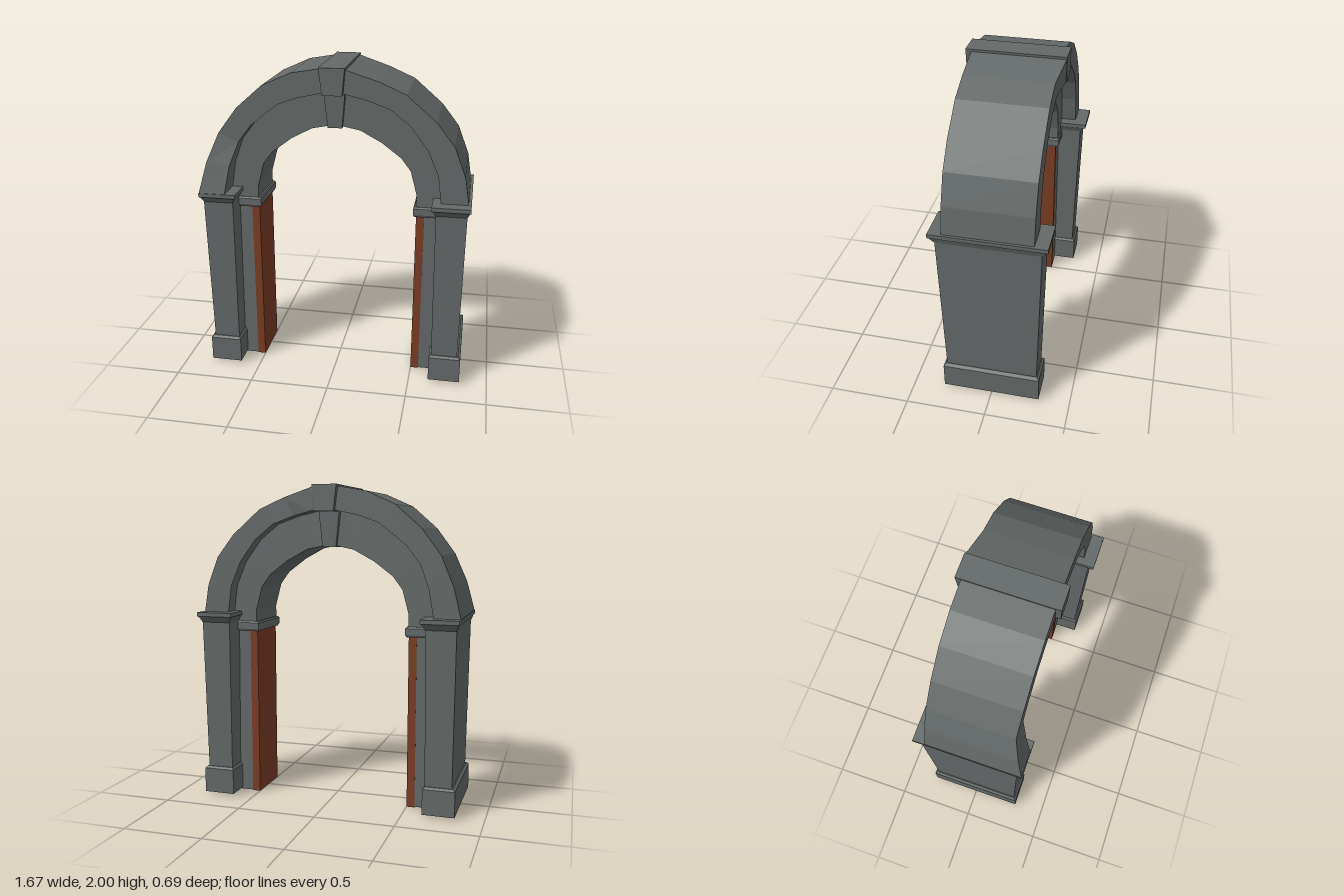
import * as THREE from 'three';

const stone = new THREE.MeshStandardMaterial({ color: 0x646a69, flatShading: true });
stone.name = 'grey stone';
const wood = new THREE.MeshStandardMaterial({ color: 0x7a3d24, flatShading: true });
wood.name = 'brown wood';

// Solid skinned over four-cornered sections, each wound anticlockwise about the direction of travel.
function loft(name, sections, material) {
  const pos = [];
  const quad = (a, b, c, d) => pos.push(...a, ...b, ...c, ...a, ...c, ...d);
  for (let i = 0; i + 1 < sections.length; i++) {
    const a = sections[i], b = sections[i + 1];
    for (let k = 0; k < 4; k++) {
      const n = (k + 1) % 4;
      quad(a[k], a[n], b[n], b[k]);
    }
  }
  quad(...[...sections[0]].reverse());
  quad(...sections[sections.length - 1]);
  const geometry = new THREE.BufferGeometry();
  geometry.setAttribute('position', new THREE.Float32BufferAttribute(pos, 3));
  geometry.computeVertexNormals();
  const mesh = new THREE.Mesh(geometry, material);
  mesh.name = name;
  return mesh;
}

// Upright block from levels [y, inner x, outer x, half depth]; side -1 puts it on the right.
function block(name, side, levels, material = stone) {
  return loft(name, levels.map(([y, xa, xb, z]) => {
    const x0 = Math.min(side * xa, side * xb), x1 = Math.max(side * xa, side * xb);
    return [[x0, y, -z], [x0, y, z], [x1, y, z], [x1, y, -z]];
  }), material);
}

// Arch ring from stations [outer x, outer y, inner x, inner y, front z, back z].
function ring(name, stations, depth) {
  return loft(name, stations.map(([ox, oy, ix, iy, f = depth, b = -depth]) =>
    [[ix, iy, b], [ox, oy, b], [ox, oy, f], [ix, iy, f]]), stone);
}

function pillar(side) {
  const g = new THREE.Group();
  g.name = side > 0 ? 'leftPillar' : 'rightPillar';
  g.add(
    block('pillarBase', side, [[0.015, 0.625, 0.825, 0.305], [0.175, 0.625, 0.825, 0.305], [0.188, 0.637, 0.81, 0.292]]),
    block('pillarShaft', side, [[0.18, 0.638, 0.803, 0.286], [1.16, 0.628, 0.815, 0.308]]),
    block('capital', side, [[1.145, 0.628, 0.815, 0.308], [1.18, 0.61, 0.828, 0.335],
      [1.185, 0.602, 0.835, 0.345], [1.21, 0.602, 0.835, 0.345]]),
    block('jamb', side, [[0.004, 0.549, 0.66, 0.155], [1.1, 0.549, 0.66, 0.155]]),
    block('doorLining', side, [[0, 0.5, 0.55, 0.156], [1.09, 0.5, 0.55, 0.156]], wood),
    block('impost', side, [[1.08, 0.49, 0.66, 0.172], [1.095, 0.482, 0.66, 0.18],
      [1.135, 0.482, 0.66, 0.18], [1.145, 0.49, 0.66, 0.172]]),
  );
  return g;
}

export function createModel() {
  const model = new THREE.Group();
  model.name = 'archway';
  model.add(pillar(1), pillar(-1));

  // Outer arch, flared at its right front foot and slightly swollen behind the keystone
  model.add(ring('outerArch', [
    [-0.835, 1.2, -0.67, 1.2, 0.343],
    [-0.785, 1.4, -0.64, 1.38, 0.304],
    [-0.71, 1.58, -0.585, 1.53],
    [-0.59, 1.74, -0.5, 1.64],
    [-0.43, 1.88, -0.335, 1.77],
    [-0.25, 1.96, -0.21, 1.815],
    [-0.075, 1.99, -0.07, 1.845],
    [0.075, 1.985, 0.07, 1.845, 0.265, -0.295],
    [0.27, 1.925, 0.2, 1.815],
    [0.43, 1.855, 0.34, 1.765],
    [0.61, 1.7, 0.46, 1.67],
    [0.72, 1.56, 0.565, 1.53],
    [0.79, 1.38, 0.63, 1.38],
    [0.82, 1.2, 0.655, 1.2],
  ], 0.265));

  // Recessed inner arch, mirrored about the middle
  const half = [
    [0.69, 1.13, 0.5, 1.13], [0.69, 1.22, 0.5, 1.22], [0.67, 1.42, 0.46, 1.37], [0.6, 1.57, 0.4, 1.45],
    [0.45, 1.74, 0.28, 1.54], [0.25, 1.85, 0.15, 1.61], [0.08, 1.89, 0.05, 1.63],
  ];
  const mirrored = half.map(([ox, oy, ix, iy]) => [-ox, oy, -ix, iy]);
  model.add(ring('innerArch', [...mirrored, ...half.reverse()], 0.17));

  // Stepped keystone
  model.add(
    block('upperKeystone', 1, [[1.84, -0.06, 0.06, 0.298], [2, -0.08, 0.075, 0.298]]),
    block('lowerKeystone', 1, [[1.625, -0.045, 0.042, 0.195], [1.85, -0.07, 0.062, 0.205]]),
  );
  return model;
}
